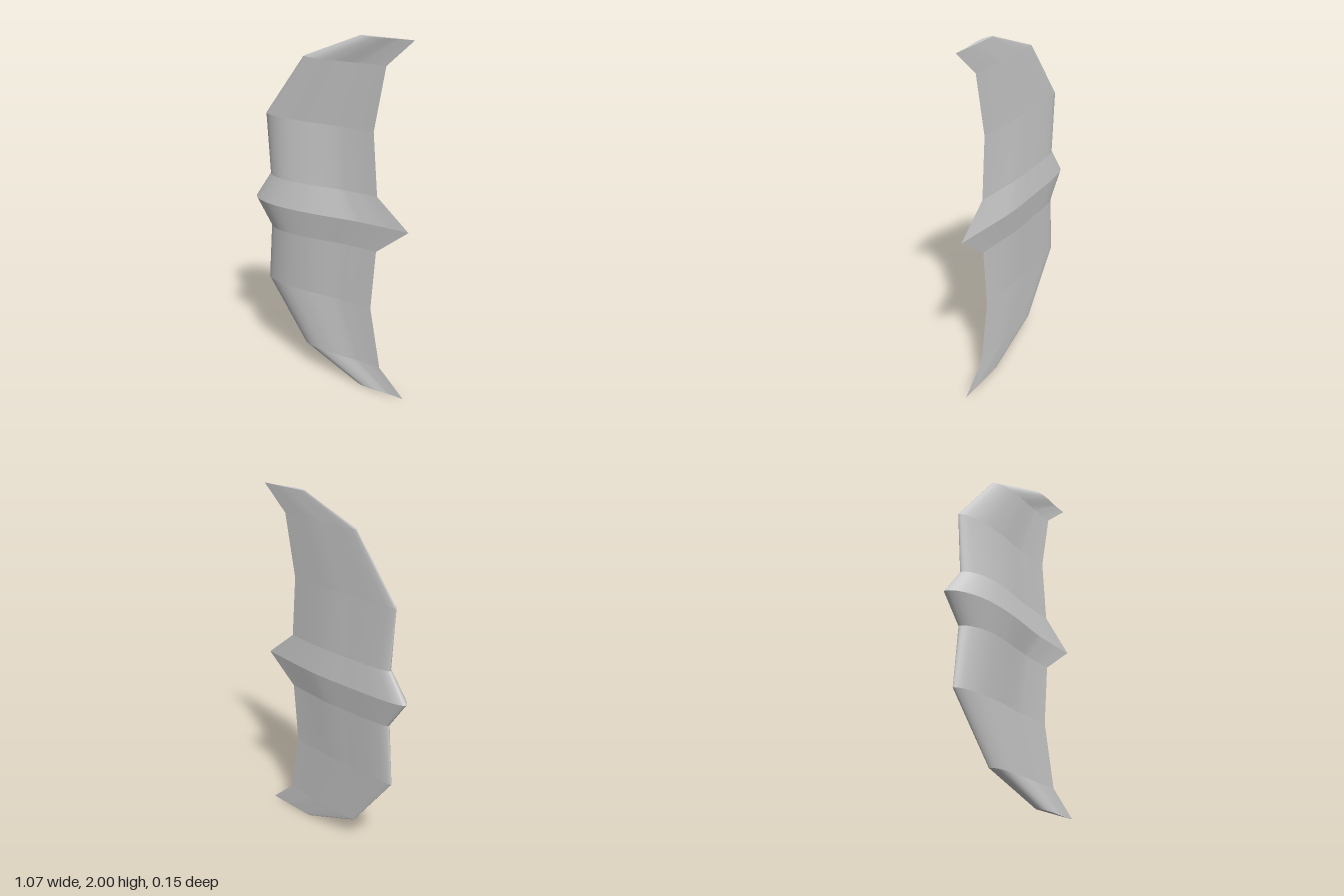
import * as THREE from 'three';

// Airfoil outline: [chord fraction, offset from chord], trailing edge -> front side -> nose -> back side
const OUTLINE = [
  [1, 0], [0.88, 0.008], [0.78, 0.018], [0.69, 0.029], [0.5, 0.07], [0.4, 0.088], [0.24, 0.102], [0.125, 0.088], [0.035, 0.048],
  [0, 0],
  [0.035, -0.023], [0.125, -0.037], [0.24, -0.043], [0.4, -0.046], [0.5, -0.048], [0.6, -0.046], [0.69, -0.038], [0.88, -0.015], [1, 0],
];
const CHORD_Z = -0.028;
const SEGMENTS = 72;

// Stations from centre to tip: [distance from centre, nose x, trailing x, front thickness, back thickness]
const HALF = [
  [0, -0.535, 0.535, 1, 1],
  [0.158, -0.42, 0.33, 0.72, 0.58],
  [0.507, -0.45, 0.30, 0.47, 0.28],
  [0.858, -0.17, 0.37, 0.36, 0.13],
  [1, 0.21, 0.535, 0.21, 0.05],
];

export function createModel() {
  const group = new THREE.Group();
  group.name = 'batShapedWing';
  const material = new THREE.MeshStandardMaterial({ color: 0xcccccc, side: THREE.DoubleSide });

  const curve = new THREE.CatmullRomCurve3(OUTLINE.map(([u, t]) => new THREE.Vector3(u, 0, t)));
  const outline = curve.getPoints(SEGMENTS);

  const section = ([d, nose, tail, front, back], side) => outline.map(p => [
    nose + (tail - nose) * p.x,
    1 + side * d,
    CHORD_Z + p.z * (p.z > 0 ? front : back),
  ]);

  const addMesh = (name, points, index) => {
    const geometry = new THREE.BufferGeometry();
    geometry.setAttribute('position', new THREE.Float32BufferAttribute(points.flat(), 3));
    geometry.setIndex(index);
    geometry.computeVertexNormals();
    const mesh = new THREE.Mesh(geometry, material);
    mesh.name = name;
    group.add(mesh);
  };

  // Panels: smooth along the chord, creased where they meet
  const addPanel = (name, lower, upper) => {
    const index = [];
    const n = SEGMENTS + 1;
    for (let i = 0; i < SEGMENTS; i++) {
      index.push(i, n + i, i + 1, n + i, n + i + 1, i + 1);
    }
    addMesh(name, [...lower, ...upper], index);
  };

  // Tip caps: strips from the front side to the back side
  const addCap = (name, points, side) => {
    const index = [];
    for (let i = 0; i < SEGMENTS / 2; i++) {
      const a = i, b = i + 1, c = SEGMENTS - i, d = SEGMENTS - i - 1;
      if (side > 0) index.push(a, c, b, c, d, b);
      else index.push(a, b, c, c, b, d);
    }
    addMesh(name, points, index);
  };

  for (const side of [1, -1]) {
    const label = side > 0 ? 'upper' : 'lower';
    for (let i = 0; i < HALF.length - 1; i++) {
      const inner = section(HALF[i], side);
      const outer = section(HALF[i + 1], side);
      if (side > 0) addPanel(`${label}WingPanel${i + 1}`, inner, outer);
      else addPanel(`${label}WingPanel${i + 1}`, outer, inner);
    }
    addCap(`${label}TipCap`, section(HALF[HALF.length - 1], side), side);
  }
  return group;
}
